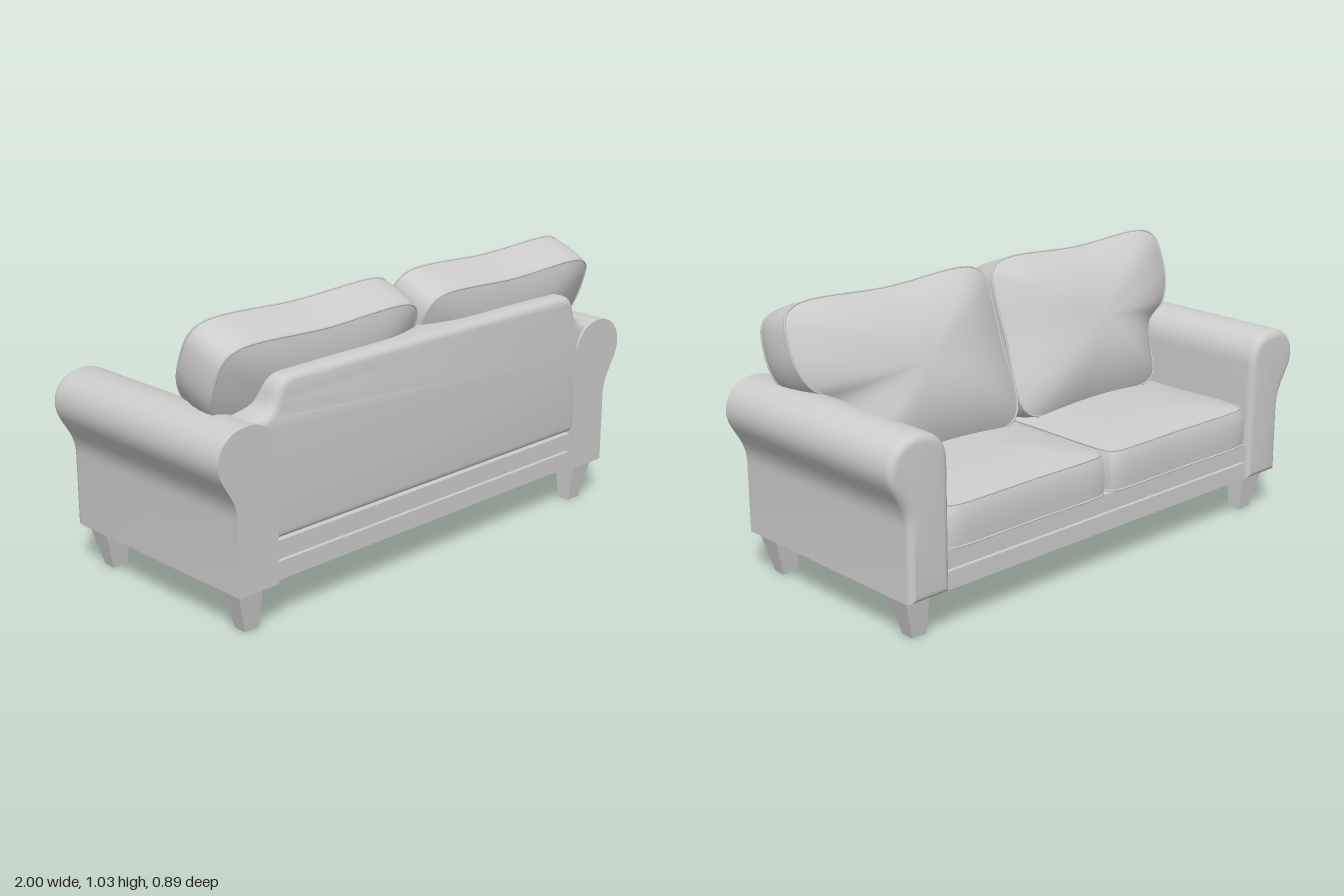
import * as THREE from 'three';
import { toCreasedNormals } from 'three/addons/utils/BufferGeometryUtils.js';

const fabric = new THREE.MeshStandardMaterial({ color: 0xcccccc });
fabric.name = 'light grey';

function add(parent, name, geometry) {
  const mesh = new THREE.Mesh(geometry, fabric);
  mesh.name = name;
  parent.add(mesh);
  return mesh;
}

// Stuffed cushion: a closed outline lofted through rings, domed on both faces, piped on both seams
function cushion(name, outline, side, centre, thickness, frontDome, backDome) {
  const group = new THREE.Group();
  group.name = name;
  let pts = outline.map(([x, y]) => new THREE.Vector3(x * side, y, 0));
  if (side < 0) pts.reverse();
  const n = 96, backScale = 0.975;
  const loop = new THREE.CatmullRomCurve3(pts, true).getSpacedPoints(n).slice(0, n);
  const cx = centre[0] * side, cy = centre[1];
  const at = (p, s, w) => new THREE.Vector3(cx + (p.x - cx) * s, cy + (p.y - cy) * s, w);

  const steps = [0.001, 0.2, 0.4, 0.55, 0.7, 0.8, 0.9, 0.96, 1];
  const dome = s => 1 - Math.pow(s, 2.5);
  const rings = [
    ...steps.map(s => [s, -frontDome * dome(s)]),
    [1.008, thickness * 0.3], [1.005, thickness * 0.6], [0.995, thickness * 0.85],
    ...steps.slice().reverse().map(s => [s * backScale, thickness + backDome * dome(s)]),
  ];
  const position = [], index = [];
  rings.forEach(([s, w], i) => loop.forEach((p, j) => {
    position.push(...at(p, s, w).toArray());
    if (i === rings.length - 1) return;
    const a = i * n + j, b = i * n + (j + 1) % n;
    index.push(a, b, b + n, a, b + n, a + n);
  }));
  const geo = new THREE.BufferGeometry();
  geo.setAttribute('position', new THREE.Float32BufferAttribute(position, 3));
  geo.setIndex(index);
  add(group, name + 'Body', toCreasedNormals(geo, 0.6));

  for (const [s, w] of [[1, 0], [backScale, thickness]]) {
    const seam = new THREE.CatmullRomCurve3(loop.map(p => at(p, s, w)), true);
    add(group, name + 'Piping', new THREE.TubeGeometry(seam, 120, 0.004, 6, true));
  }
  return group;
}

// Rolled arm: profile run along z, rounded at the seat end and flat at the rear
function armGeometry() {
  const s = new THREE.Shape();
  s.moveTo(0.755, 0.155);
  s.lineTo(0.755, 0.61);
  s.bezierCurveTo(0.755, 0.69, 0.81, 0.728, 0.88, 0.728);
  s.bezierCurveTo(0.95, 0.728, 1.0, 0.68, 1.0, 0.62);
  s.bezierCurveTo(1.0, 0.55, 0.925, 0.51, 0.924, 0.42);
  s.lineTo(0.924, 0.155);
  s.closePath();
  const geo = new THREE.ExtrudeGeometry(s, {
    depth: 0.86, curveSegments: 14, bevelThickness: 0.03, bevelSize: 0.03, bevelOffset: -0.03, bevelSegments: 5,
  });
  geo.translate(0, 0, -0.415);
  const p = geo.attributes.position;
  for (let i = 0; i < p.count; i++) p.setZ(i, Math.min(p.getZ(i), 0.445));
  return toCreasedNormals(geo, 0.6);
}

// Back panel with dropped shoulders that flow into the arms
function backGeometry() {
  const s = new THREE.Shape();
  s.moveTo(-0.76, 0.3);
  s.lineTo(0.76, 0.3);
  s.lineTo(0.86, 0.6);
  s.lineTo(0.86, 0.722);
  s.bezierCurveTo(0.76, 0.73, 0.76, 0.75, 0.745, 0.79);
  s.bezierCurveTo(0.735, 0.83, 0.72, 0.85, 0.67, 0.85);
  s.quadraticCurveTo(0, 0.858, -0.67, 0.85);
  s.bezierCurveTo(-0.72, 0.85, -0.735, 0.83, -0.745, 0.79);
  s.bezierCurveTo(-0.76, 0.75, -0.76, 0.73, -0.86, 0.722);
  s.lineTo(-0.86, 0.6);
  s.closePath();
  const geo = new THREE.ExtrudeGeometry(s, {
    depth: 0.07, curveSegments: 12, bevelThickness: 0.035, bevelSize: 0.03, bevelOffset: -0.03, bevelSegments: 5,
  });
  geo.translate(0, 0, 0.33);
  return toCreasedNormals(geo, 0.6);
}

// Square leg whose outer face leans in towards the floor
function legGeometry() {
  const geo = new THREE.BoxGeometry(0.105, 0.16, 0.095);
  const p = geo.attributes.position;
  for (let i = 0; i < p.count; i++) {
    if (p.getY(i) > 0) continue;
    p.setZ(i, p.getZ(i) * 0.53);
    if (p.getX(i) > 0) p.setX(i, 0.008);
  }
  geo.translate(0.855, 0.08, 0);
  return toCreasedNormals(geo.toNonIndexed(), 0.2);
}

// Mirror a geometry across x and restore its winding
function mirrored(source) {
  const geo = source.clone().scale(-1, 1, 1);
  for (const key of Object.keys(geo.attributes)) {
    const { array, itemSize: k } = geo.attributes[key];
    for (let t = 0; t < array.length; t += 3 * k) {
      for (let c = 0; c < k; c++) {
        [array[t + k + c], array[t + 2 * k + c]] = [array[t + 2 * k + c], array[t + k + c]];
      }
    }
  }
  return toCreasedNormals(geo, 0.6);
}

export function createModel() {
  const sofa = new THREE.Group();
  sofa.name = 'sofa';

  // Base: two stacked rails with a narrow groove, and a core inside
  add(sofa, 'lowerRail', new THREE.BoxGeometry(1.53, 0.065, 0.85)).position.set(0, 0.1885, 0);
  add(sofa, 'upperRail', new THREE.BoxGeometry(1.53, 0.065, 0.85)).position.set(0, 0.2625, 0);
  add(sofa, 'baseCore', new THREE.BoxGeometry(1.53, 0.12, 0.82)).position.set(0, 0.22, 0);
  add(sofa, 'backPanel', backGeometry());

  // Outlines for the left half; the right half is mirrored
  const seatOutline = [
    [0.015, -0.3], [0.03, -0.32], [0.37, -0.32], [0.73, -0.32], [0.748, -0.3], [0.748, 0.05],
    [0.748, 0.41], [0.73, 0.425], [0.37, 0.43], [0.03, 0.425], [0.012, 0.41], [0.006, 0.05],
  ];
  const pillowOutline = [
    [0.03, 0.02], [0.38, 0], [0.71, 0.02], [0.74, 0.12], [0.765, 0.23], [0.865, 0.295], [0.91, 0.37],
    [0.922, 0.45], [0.905, 0.555], [0.85, 0.588], [0.47, 0.582], [0.07, 0.588], [0.022, 0.55], [0.012, 0.3],
  ];
  const arm = armGeometry(), leg = legGeometry();

  for (const side of [1, -1]) {
    const label = side > 0 ? 'left' : 'right';
    add(sofa, label + 'Arm', side > 0 ? arm : mirrored(arm));

    const seat = cushion(label + 'SeatCushion', seatOutline, side, [0.375, 0.05], 0.145, 0.005, 0.03);
    seat.rotation.x = -Math.PI / 2;
    seat.position.y = 0.298;
    sofa.add(seat);

    const pillow = cushion(label + 'BackCushion', pillowOutline, side, [0.43, 0.3], 0.165, 0.1, 0.06);
    pillow.rotation.x = 0.345;
    pillow.position.set(0, 0.462, 0.017);
    sofa.add(pillow);

    for (const [end, z] of [['Rear', 0.37], ['Front', -0.343]]) {
      add(sofa, label + end + 'Leg', side > 0 ? leg : mirrored(leg)).position.z = z;
    }
  }
  return sofa;
}
